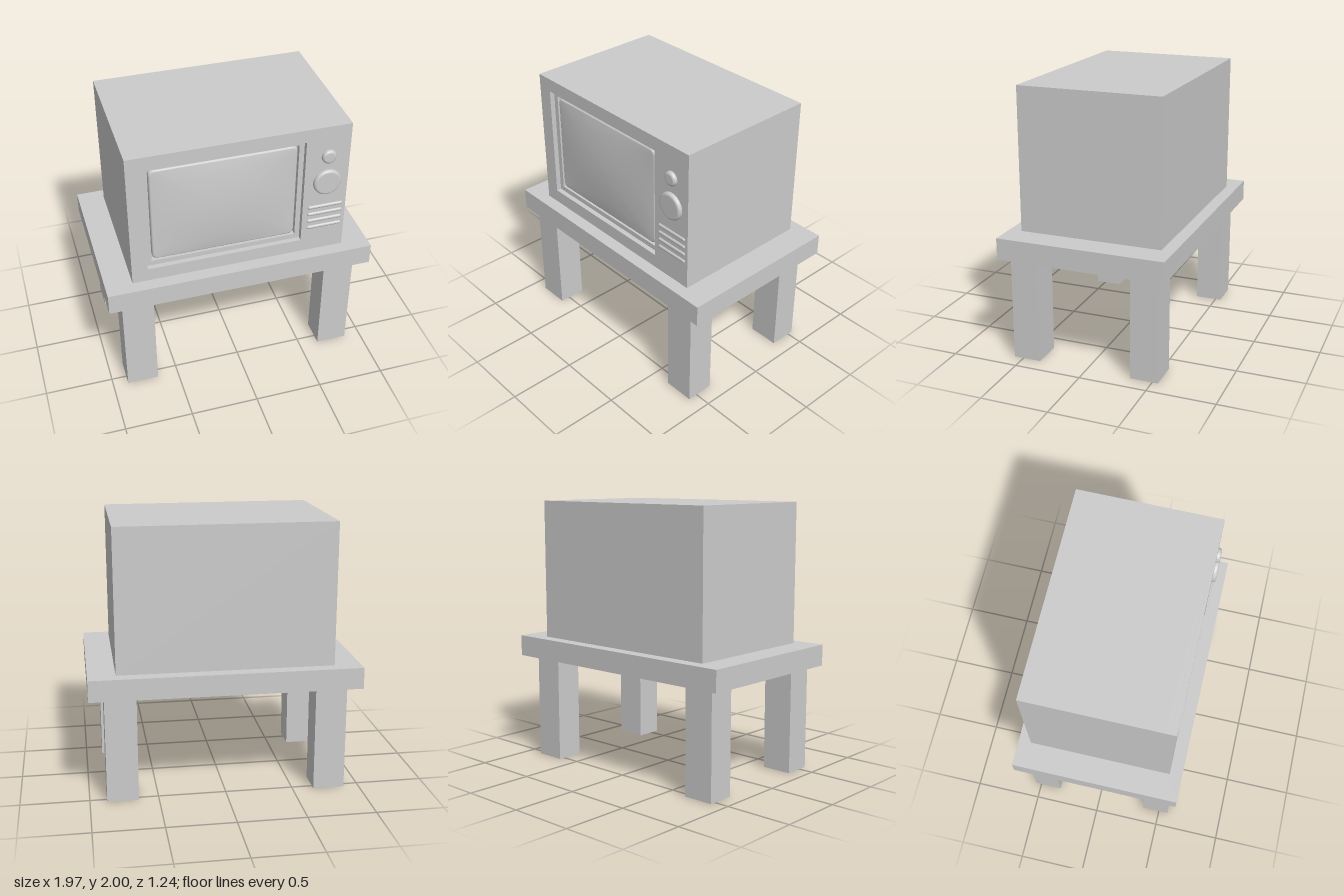
import * as THREE from 'three';

const mat = new THREE.MeshStandardMaterial({ color: 0xcccccc });

function add(parent, name, geometry) {
  const mesh = new THREE.Mesh(geometry, mat);
  mesh.name = name;
  parent.add(mesh);
  return mesh;
}

// Box given by its extents on each axis
function slab(x0, x1, y0, y1, z0, z1) {
  return new THREE.BoxGeometry(x1 - x0, y1 - y0, z1 - z0)
    .translate((x0 + x1) / 2, (y0 + y1) / 2, (z0 + z1) / 2);
}

function trace(path, [x0, x1, y0, y1]) {
  path.moveTo(x0, y0);
  path.lineTo(x1, y0);
  path.lineTo(x1, y1);
  path.lineTo(x0, y1);
  path.closePath();
  return path;
}

// Rectangular plate with a rectangular opening
function plate(outer, hole, z0, z1) {
  const shape = trace(new THREE.Shape(), outer);
  shape.holes.push(trace(new THREE.Path(), hole));
  return new THREE.ExtrudeGeometry(shape, { depth: z1 - z0, bevelEnabled: false }).translate(0, 0, z0);
}

// Bulging picture tube: rounded-rectangle rings that rise and close to the centre
function screenGeometry(cx, cy, w, h, r, z0, zEdge, crown) {
  const rings = [[0, z0], [0, zEdge - 0.015], [0.003, zEdge - 0.006], [0.008, zEdge - 0.001], [0.014, zEdge]];
  const steps = 8, corner = 6, side = 6;
  const outline = [];
  const centres = [[1, 1], [-1, 1], [-1, -1], [1, -1]];
  const at = (k, a) => [centres[k][0] * (w / 2 - r) + r * Math.cos(a), centres[k][1] * (h / 2 - r) + r * Math.sin(a)];
  for (let k = 0; k < 4; k++) {
    for (let i = 0; i <= corner; i++) outline.push(at(k, (k + i / corner) * Math.PI / 2));
    const a = outline[outline.length - 1], b = at((k + 1) % 4, (k + 1) * Math.PI / 2);
    for (let i = 1; i < side; i++) {
      outline.push([a[0] + (b[0] - a[0]) * i / side, a[1] + (b[1] - a[1]) * i / side]);
    }
  }
  const n = outline.length, pos = [], idx = [];
  const bulge = (x, y) => crown * (1 - (2 * x / w) ** 2) * (1 - (2 * y / h) ** 2);
  for (const [inset, z] of rings) {
    for (const [x, y] of outline) pos.push(cx + x * (1 - 2 * inset / w), cy + y * (1 - 2 * inset / h), z);
  }
  for (let s = 1; s <= steps; s++) {
    const k = 1 - s / steps;
    for (const [px, py] of outline) {
      const x = px * k * (1 - 0.028 / w), y = py * k * (1 - 0.028 / h);
      pos.push(cx + x, cy + y, zEdge + bulge(x, y));
    }
  }
  for (let j = 0; j < rings.length + steps - 1; j++) {
    for (let i = 0; i < n; i++) {
      const a = j * n + i, b = j * n + (i + 1) % n;
      idx.push(a, b, b + n, a, b + n, a + n);
    }
  }
  const g = new THREE.BufferGeometry();
  g.setAttribute('position', new THREE.Float32BufferAttribute(pos, 3));
  g.setIndex(idx);
  g.computeVertexNormals();
  return g;
}

// Round knob with a softened rim, facing +z
function knobGeometry(radius, depth) {
  const soft = 0.02, pts = [new THREE.Vector2(radius, 0)];
  for (let i = 0; i <= 6; i++) {
    const a = i / 6 * Math.PI / 2;
    pts.push(new THREE.Vector2(radius - soft + soft * Math.cos(a), depth - soft + soft * Math.sin(a)));
  }
  pts.push(new THREE.Vector2(0, depth));
  return new THREE.LatheGeometry(pts, 40).rotateX(Math.PI / 2);
}

export function createModel() {
  const model = new THREE.Group();
  model.name = 'televisionOnTable';

  // Table
  const table = new THREE.Group();
  table.name = 'table';
  model.add(table);
  add(table, 'tableTop', slab(-0.987, 0.987, 0.795, 0.953, -0.62, 0.62));
  for (const [sx, x0, x1] of [['Right', -0.888, -0.656], ['Left', 0.646, 0.876]]) {
    for (const [sz, z0, z1] of [['front', 0.365, 0.572], ['back', -0.543, -0.337]]) {
      add(table, sz + sx + 'Leg', slab(x0, x1, 0, 0.795, z0, z1));
    }
  }

  // Cabinet: solid body and two stepped plates around the screen recess
  const tv = new THREE.Group();
  tv.name = 'television';
  model.add(tv);
  const face = [-0.791, 0.787, 0.953, 2];
  const front = 0.527;
  add(tv, 'cabinetBody', slab(...face, -0.527, 0.45));
  add(tv, 'screenFrame', plate(face, [-0.638, 0.425, 1.093, 1.865], 0.45, 0.49));
  add(tv, 'cabinetFront', plate(face, [-0.676, 0.462, 1.055, 1.902], 0.49, front));
  add(tv, 'screen', screenGeometry(-0.106, 1.479, 1.048, 0.756, 0.04, 0.45, 0.488, 0.03));

  // Knobs
  for (const [name, y, r] of [['smallKnob', 1.763, 0.053], ['largeKnob', 1.55, 0.102]]) {
    add(tv, name, knobGeometry(r, 0.028)).position.set(0.63, y, front);
  }

  // Speaker ribs
  for (let i = 0; i < 4; i++) {
    const rib = add(tv, 'speakerRib', new THREE.CapsuleGeometry(0.015, 0.234, 6, 14).rotateZ(Math.PI / 2));
    rib.position.set(0.632, 1.338 - i * 0.059, 0.523);
  }
  return model;
}
